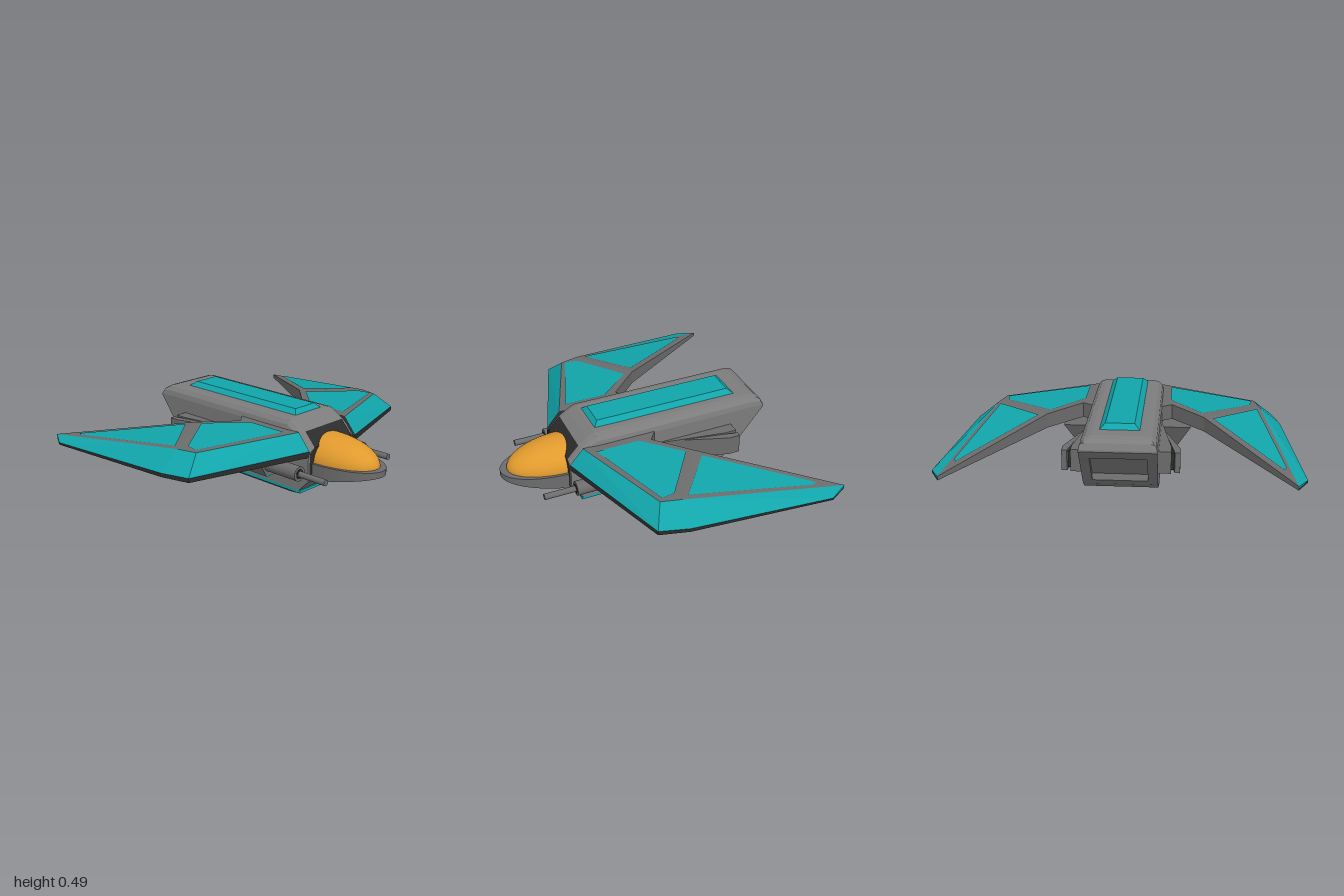
import * as THREE from 'three';
import { ConvexGeometry } from 'three/addons/geometries/ConvexGeometry.js';

const paint = (color) => new THREE.MeshStandardMaterial({ color, flatShading: true, side: THREE.DoubleSide });
const GREY = paint(0x6c6c6c), SIDE = paint(0x7c7c7c), DARK = paint(0x2c2c2c), TEAL = paint(0x11a5aa);
const V = (x, y, z) => new THREE.Vector3(x, y, z);

function add(parent, name, geometry, material) {
  const mesh = new THREE.Mesh(geometry, material);
  mesh.name = name;
  parent.add(mesh);
  return mesh;
}

const hull = (points) => new ConvexGeometry(points.map((p) => V(...p)));

// Flat polygons, each fanned from its first corner
function facets(polygons) {
  const pts = [];
  for (const p of polygons) {
    for (let i = 1; i < p.length - 1; i++) pts.push(p[0], p[i], p[i + 1]);
  }
  const g = new THREE.BufferGeometry().setFromPoints(pts);
  g.computeVertexNormals();
  return g;
}

// Quads joining two matching open lines
const strip = (a, b) => a.slice(1).map((p, i) => [a[i], b[i], b[i + 1], p]);

// Block with a smaller top or bottom: [half width, z back, z front, y]
const frustum = (a, b) => hull([a, b].flatMap(([w, z0, z1, y]) =>
  [[-w, y, z0], [w, y, z0], [w, y, z1], [-w, y, z1]]));

// Fuselage cross-section with rounded shoulders and an optional recess below
function section([z, bottom, top, recess]) {
  const r = Math.min(0.06, (top - bottom) * 0.5), w = 0.21;
  const half = [[0.155, bottom + recess], [0.155, bottom], [w, bottom], [w, top - r],
    [w - r * 0.13, top - r * 0.5], [w - r * 0.5, top - r * 0.13], [w - r, top]];
  return [...half, ...half.map(([x, y]) => [-x, y]).reverse()].map(([x, y]) => V(x, y, z));
}

function fuselage() {
  const stations = [[0.5, 0.13, 0.32, 0], [0.43, 0.06, 0.4, 0], [0.38, 0.06, 0.435, 0],
    [0.33, 0.06, 0.46, 0], [-0.4, 0.06, 0.46, 0], [-0.48, 0.078, 0.46, 0], [-0.54, 0.12, 0.46, 0],
    [-0.565, 0.152, 0.46, 0], [-0.566, 0.153, 0.46, 0.04], [-0.68, 0.3, 0.46, 0.04],
    [-0.71, 0.338, 0.452, 0.04], [-0.711, 0.339, 0.452, 0], [-0.735, 0.37, 0.435, 0], [-0.75, 0.39, 0.4, 0]];
  const loops = stations.map(section);
  const faces = [];
  for (let i = 1; i < loops.length; i++) {
    const a = loops[i - 1], b = loops[i], n = a.length;
    for (let k = 0; k < n; k++) faces.push([a[k], a[(k + 1) % n], b[(k + 1) % n], b[k]]);
  }
  faces.push(loops[0].slice().reverse(), loops[loops.length - 1]);
  return facets(faces.map((f) => f.slice().reverse()));
}

function wing() {
  const g = new THREE.Group();
  const inner = (x, z) => V(x, 0.405 - 0.045 * (x - 0.2), z);
  // Outer rim, ridge and trailing edge
  const rim = [V(0.2, 0.31, 0.5), V(0.88, 0.28, 0.26), V(0.925, 0.277, 0.09), V(1, 0.263, -0.75), V(0.94, 0.262, -0.86)];
  const tip = V(0.94, 0.275, -0.86);
  const ridge = [inner(0.2, 0.42), inner(0.77, 0.2), inner(0.8, 0.08), tip, tip];
  const trail = [tip, inner(0.46, -0.17), inner(0.27, 0.025), inner(0.2, -0.03)];
  const drop = (d) => (p) => V(p.x, p.y - d, p.z);
  const rimLow = rim.map((p, i) => drop([0.035, 0.025, 0.022, 0.013, 0.01][i])(p));
  const trailLow = trail.map((p, i) => drop([0.023, 0.085, 0.09, 0.09][i])(p));

  add(g, 'wingTop', facets([
    [ridge[0], ridge[1], ridge[2], trail[1], trail[2], trail[3]],
    [ridge[2], tip, trail[1]],
  ]), GREY);
  add(g, 'wingRim', facets(strip(ridge, rim)), TEAL);
  add(g, 'wingEdge', facets(strip(rim, rimLow)), DARK);
  add(g, 'wingTrailingEdge', facets(strip(trail, trailLow)), GREY);
  const [a, b, c, d, e] = rimLow, [, f, h, k] = trailLow;
  add(g, 'wingUnderside', facets([[a, k, h, f, c, b], [c, f, e, d]]), DARK);

  // Inlaid panels lie just above the two planes of the wing
  const plane = new THREE.Plane().setFromCoplanarPoints(ridge[2], tip, trail[1]);
  const outer = (x, z) => V(x, -(plane.normal.x * x + plane.normal.z * z + plane.constant) / plane.normal.y, z);
  const panel = (name, fn, pts) =>
    add(g, name, facets([pts.map(([x, z]) => fn(x, z).add(V(0, 0.005, 0)))]), TEAL);
  panel('innerWingPanel', inner, [[0.26, 0.36], [0.755, 0.18], [0.74, 0.1], [0.45, -0.11], [0.26, 0.1]]);
  panel('outerWingPanel', outer, [[0.78, 0.04], [0.895, -0.68], [0.88, -0.71], [0.51, -0.18]]);
  return g;
}

function gun() {
  const g = new THREE.Group();
  const prism = (y0, y1) => hull([y0, y1].flatMap((y) => {
    const t = (y - 0.13) / 0.14, x = 0.305 + 0.08 * t, z = 0.05 - 0.06 * t;
    return [[0.2, y, 0.27], [x, y, 0.27], [x, y, z], [0.2, y, z]];
  }));
  add(g, 'gunHousing', prism(0.136, 0.27), GREY);
  add(g, 'gunHousingTrim', prism(0.128, 0.136), TEAL);
  const tube = (name, r, z0, z1, mat) => {
    const geo = new THREE.CylinderGeometry(r, r, z1 - z0, 20).rotateX(Math.PI / 2);
    add(g, name, geo, mat).position.set(0.28, 0.2, (z0 + z1) / 2);
  };
  tube('gunSleeve', 0.043, 0.2, 0.5, GREY);
  tube('gunMuzzleRing', 0.028, 0.49, 0.503, DARK);
  tube('gunBarrel', 0.018, 0.48, 0.69, GREY);
  return g;
}

function sidePod() {
  const g = new THREE.Group();
  const slab = (name, plan, y0, y1, mat) =>
    add(g, name, hull(plan.flatMap(([x, z]) => [[x, y0, z], [x, y1, z]])), mat);
  slab('podInnerWedge', [[0.2, -0.06], [0.215, -0.06], [0.28, -0.46], [0.28, -0.53], [0.2, -0.53]], 0.185, 0.315, GREY);
  slab('podOuterWedge', [[0.23, -0.17], [0.33, -0.46], [0.33, -0.53], [0.3, -0.53], [0.24, -0.22]], 0.19, 0.31, GREY);
  slab('podVent', [[0.27, -0.4], [0.31, -0.45], [0.31, -0.51], [0.27, -0.51]], 0.2, 0.3, DARK);
  return g;
}

export function createModel() {
  const model = new THREE.Group();
  model.name = 'starfighter';

  add(model, 'fuselage', fuselage(), SIDE);
  add(model, 'dorsalPanel', frustum([0.115, -0.6, 0.315, 0.455], [0.08, -0.56, 0.285, 0.487]), TEAL);
  add(model, 'keelTrim', frustum([0.21, -0.36, 0.44, 0.045], [0.21, -0.36, 0.44, 0.062]), TEAL);
  add(model, 'keel', frustum([0.14, -0.25, 0.31, 0], [0.208, -0.36, 0.44, 0.045]), GREY);

  // Dark bulkhead behind the canopy
  add(model, 'bulkhead', facets([
    [V(-0.2, 0.135, 0.503), V(0.2, 0.135, 0.503), V(0.2, 0.29, 0.503), V(-0.2, 0.29, 0.503)],
    [V(-0.205, 0.29, 0.503), V(0.205, 0.29, 0.503), V(0.16, 0.325, 0.503), V(-0.16, 0.325, 0.503)],
    [V(-0.16, 0.325, 0.503), V(0.16, 0.325, 0.503), V(0.16, 0.403, 0.432), V(-0.16, 0.403, 0.432)],
  ]), DARK);

  // Cockpit tub: half ellipse with a sloping floor
  const tub = [];
  for (let i = 0; i <= 32; i++) {
    const t = (i / 32) * Math.PI, x = 0.182 * Math.cos(t), s = Math.sin(t);
    tub.push([x, 0.235, 0.48 + 0.38 * s], [x, 0.13 + 0.07 * s, 0.48 + 0.38 * s]);
  }
  add(model, 'cockpitTub', hull(tub), GREY);

  const dome = new THREE.SphereGeometry(1, 40, 16, 0, Math.PI * 2, 0, Math.PI / 2);
  const canopy = add(model, 'canopy', dome, new THREE.MeshStandardMaterial({ color: 0xe09a2e }));
  canopy.scale.set(0.168, 0.137, 0.34);
  canopy.position.set(0, 0.234, 0.48);

  // Paired parts, mirrored across x
  for (const [side, sign] of [['left', 1], ['right', -1]]) {
    for (const [name, make] of [['Wing', wing], ['Gun', gun], ['Pod', sidePod]]) {
      const part = make();
      part.name = side + name;
      part.scale.x = sign;
      model.add(part);
    }
  }
  return model;
}
